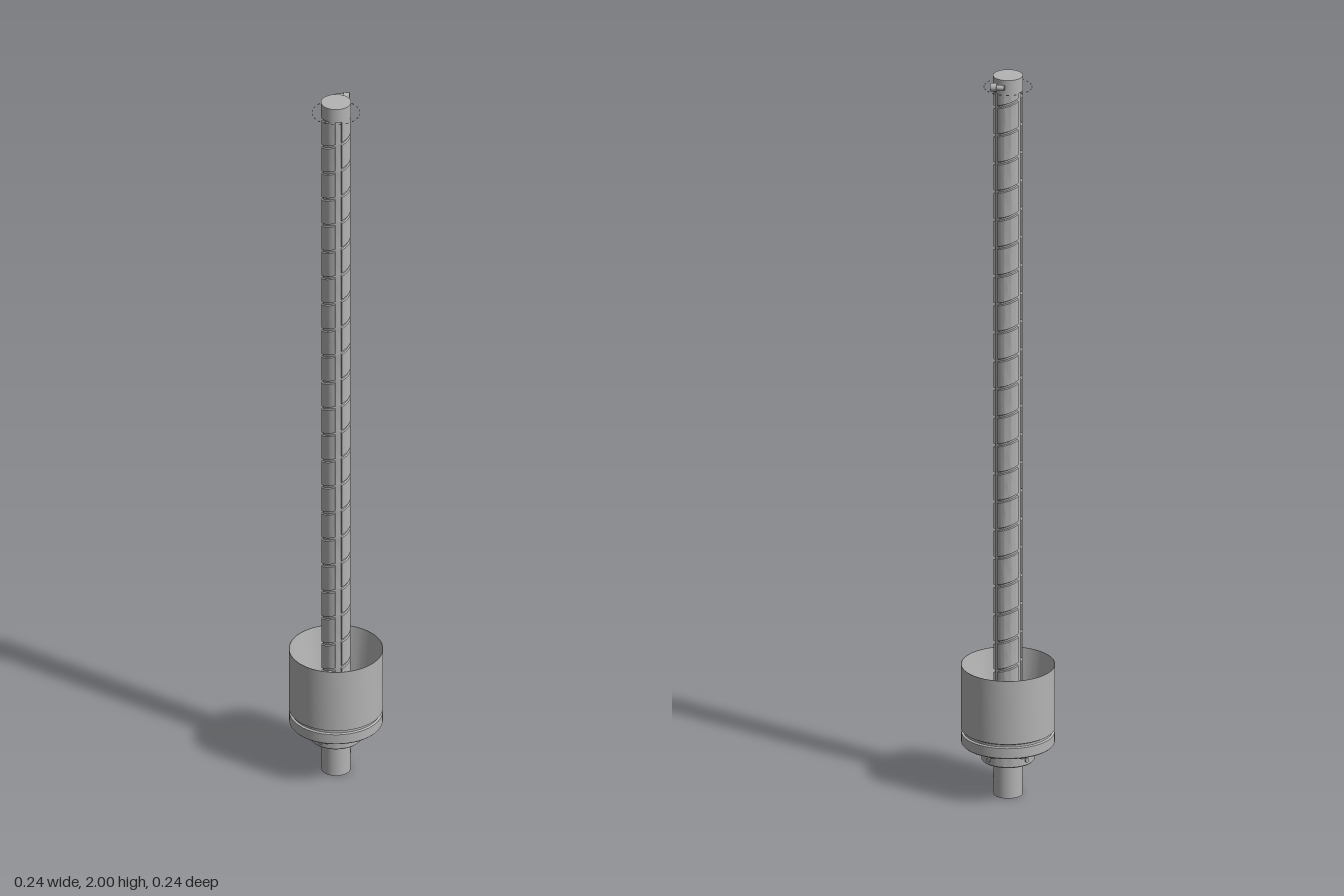
import * as THREE from 'three';
import { toCreasedNormals } from 'three/addons/utils/BufferGeometryUtils.js';

const R = 0.038, PITCH = 0.0785, TOP = 1.96, BOTTOM = 0.16;

export function createModel() {
  const group = new THREE.Group();
  const steel = new THREE.MeshStandardMaterial({ color: 0xb4b4b4 });
  steel.name = 'steel grey';

  const add = (name, geometry, x = 0, y = 0, z = 0) => {
    const mesh = new THREE.Mesh(geometry, steel);
    mesh.name = name;
    mesh.position.set(x, y, z);
    group.add(mesh);
    return mesh;
  };
  const lathe = (name, profile, segments = 64) => add(name, toCreasedNormals(
    new THREE.LatheGeometry(profile.map(p => new THREE.Vector2(...p)), segments), 0.6));
  const rod = (name, r, h, x, y, z, sides = 16) =>
    add(name, new THREE.CylinderGeometry(r, r, h, sides), x, y, z);

  // Threaded shaft: rows follow the helix, columns follow the spline grooves
  add('threadedShaft', shaftGeometry());
  rod('shaftEnd', R, 0.17, 0, 0.085, 0, 48);
  rod('shaftCap', R + 0.001, 0.04, 0, 1.98, 0, 48);

  // Open funnel-shaped housing with a flange below its groove
  lathe('housing', [
    [R, 0.142], [0.118, 0.142], [0.121, 0.145], [0.121, 0.172], [0.115, 0.174],
    [0.115, 0.18], [0.122, 0.184], [0.122, 0.36], [0.1205, 0.36],
    [0.092, 0.192], [0.075, 0.192], [0.069, 0.172], [R, 0.172], [R, 0.142],
  ], 72);

  // Lower collar, stepped under the flange
  lathe('lowerCollar', [
    [R, 0.096], [0.066, 0.096], [0.069, 0.099], [0.069, 0.124], [0.06, 0.126],
    [0.06, 0.131], [0.08, 0.131], [0.08, 0.143],
  ]);

  // Flange bolts on the underside
  for (let i = 0; i < 8; i++) {
    const a = (i + 0.5) * Math.PI / 4;
    rod('flangeBolt', 0.009, 0.008, 0.1 * Math.sin(a), 0.139, 0.1 * Math.cos(a));
  }

  // Radial set screws in the collar and a pin in the shaft end
  for (let i = 0; i < 4; i++) {
    const a = Math.PI / 4 + i * Math.PI / 2;
    const screw = rod('setScrew', 0.006, 0.006, 0.069 * Math.sin(a), 0.112, 0.069 * Math.cos(a));
    screw.rotation.set(Math.PI / 2, 0, -a, 'YXZ');
    screw.rotation.set(Math.PI / 2, a, 0, 'YXZ');
  }
  rod('shaftPin', 0.005, 0.004, R - 0.001, 0.05, 0).rotation.z = Math.PI / 2;

  // Small screws and key on the housing floor
  for (const [x, z] of [[-0.04, -0.037], [0.051, -0.017], [-0.052, 0.015], [0.04, 0.035]]) {
    rod('floorScrew', 0.0045, 0.004, x, 0.173, z, 12);
  }
  add('floorKey', new THREE.BoxGeometry(0.026, 0.004, 0.004), -0.054, 0.173, 0);

  // Clamp screw beside the top of the shaft
  const clamp = new THREE.Group();
  clamp.name = 'clampScrew';
  clamp.position.set(0.027, 1.985, -0.05);
  clamp.rotation.y = -0.2;
  const parts = [['clampHead', 0.011, 0.016, 0.009], ['clampStem', 0.007, 0.02, -0.009]];
  for (const [name, r, length, x] of parts) {
    const mesh = new THREE.Mesh(new THREE.CylinderGeometry(r, r, length, 20), steel);
    mesh.name = name;
    mesh.rotation.z = Math.PI / 2;
    mesh.position.x = x;
    clamp.add(mesh);
  }
  group.add(clamp);

  // Broken thin ring around the top of the shaft
  for (let i = 0; i < 20; i++) {
    const a = i * Math.PI / 10;
    const dash = add('ringDash', new THREE.BoxGeometry(0.008, 0.0015, 0.0015),
      0.062 * Math.sin(a), 1.968, 0.062 * Math.cos(a));
    dash.rotation.y = a;
  }
  return group;
}

function shaftGeometry() {
  // One pitch of thread: [fraction of pitch, groove depth]
  const thread = [[0, 0], [0.025, 0.004], [0.09, 0.004], [0.115, 0], [0.55, 0]];
  // Column angles, with close edges at three lengthwise grooves
  const columns = [];
  for (let s = 0; s < 3; s++) {
    const base = s * 120;
    for (const [d, depth] of [[-14, 0], [-12, 0.004], [0, 0.004], [12, 0.004], [14, 0]]) {
      columns.push([base + d, depth]);
    }
    for (let d = 21; d < 104; d += 7) columns.push([base + d, 0]);
  }
  columns.push([346, 0]);

  const rows = [];
  const turns = Math.ceil((TOP - BOTTOM) / PITCH) + 1;
  for (let k = -1; k < turns; k++) {
    for (const [f, depth] of thread) rows.push([(k + f) * PITCH, depth]);
  }
  const positions = [], indices = [], n = columns.length;
  for (const [offset, rowDepth] of rows) {
    for (const [degrees, columnDepth] of columns) {
      const a = degrees * Math.PI / 180;
      const r = R - Math.max(rowDepth, columnDepth);
      const y = BOTTOM + offset + PITCH * degrees / 360;
      positions.push(r * Math.sin(a), Math.min(TOP, Math.max(BOTTOM, y)), r * Math.cos(a));
    }
  }
  for (let i = 0; i < rows.length - 1; i++) {
    for (let j = 0; j < n - 1; j++) {
      const p = i * n + j;
      indices.push(p, p + 1, p + n, p + 1, p + n + 1, p + n);
    }
  }
  const geometry = new THREE.BufferGeometry();
  geometry.setAttribute('position', new THREE.Float32BufferAttribute(positions, 3));
  geometry.setIndex(indices);
  return toCreasedNormals(geometry, 0.5);
}
